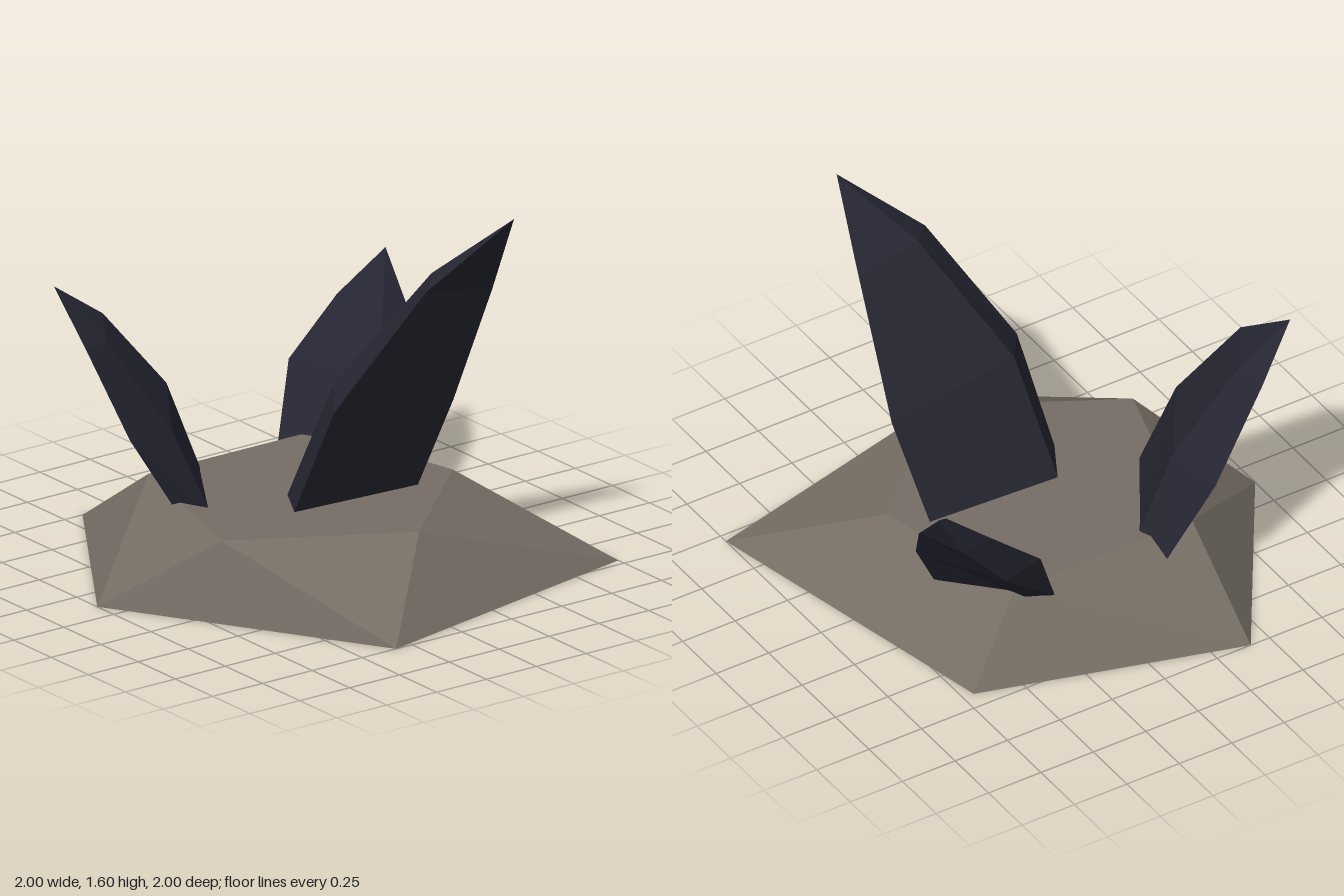
import * as THREE from 'three';

const stoneMat = new THREE.MeshStandardMaterial({ color: 0x766e65 });
stoneMat.name = 'warm grey stone';
stoneMat.flatShading = true;
const crystalMat = new THREE.MeshStandardMaterial({ color: 0x262633 });
crystalMat.name = 'dark indigo crystal';
crystalMat.flatShading = true;

// Skins closed rings (bottom to top, anticlockwise from above) and caps both ends; a tip closes to a point.
function loft(name, material, rings, tip) {
  const pos = [];
  const tri = (a, b, c) => pos.push(...a, ...b, ...c);
  const n = rings[0].length;
  for (let r = 0; r < rings.length - 1; r++) {
    const lo = rings[r], hi = rings[r + 1];
    for (let i = 0; i < n; i++) {
      const j = (i + 1) % n;
      tri(lo[i], lo[j], hi[i]);
      tri(lo[j], hi[j], hi[i]);
    }
  }
  const first = rings[0], last = rings[rings.length - 1];
  for (let i = 1; i < n - 1; i++) {
    tri(first[0], first[i + 1], first[i]);
    if (!tip) tri(last[0], last[i], last[i + 1]);
  }
  if (tip) for (let i = 0; i < n; i++) tri(last[i], last[(i + 1) % n], tip);
  const geo = new THREE.BufferGeometry();
  geo.setAttribute('position', new THREE.Float32BufferAttribute(pos, 3));
  geo.computeVertexNormals();
  const mesh = new THREE.Mesh(geo, material);
  mesh.name = name;
  return mesh;
}

const level = (y, points) => points.map(([x, z]) => [x, y, z]);

export function createModel() {
  const group = new THREE.Group();
  group.name = 'crystalCluster';

  // Five-sided rock with a flat top
  group.add(loft('rockBase', stoneMat, [
    level(0, [[-1, -0.11], [-0.33, 1], [1, 0.71], [0.7, -0.67], [-0.41, -1]]),
    level(0.32, [[-0.66, 0.27], [0.04, 0.66], [0.58, 0.16], [0.42, -0.53], [-0.43, -0.53]]),
  ]));

  // Tall blade leaning forward
  group.add(loft('tallCrystal', crystalMat, [
    [[-0.23, 0.3, 0.17], [0.36, 0.3, 0.21], [0.46, 0.3, 0.02], [-0.13, 0.3, -0.01]],
    [[-0.17, 0.79, 0.37], [0.42, 0.72, 0.38], [0.535, 0.74, 0.2], [-0.05, 0.83, 0.2]],
    [[0.12, 1.31, 0.6], [0.45, 1.25, 0.6], [0.5, 1.27, 0.5], [0.22, 1.34, 0.5]],
  ], [0.44, 1.6, 0.76]));

  // Medium blade leaning to the -x side
  group.add(loft('mediumCrystal', crystalMat, [
    [[-0.45, 0.26, -0.06], [-0.2, 0.28, -0.47], [-0.25, 0.25, -0.62], [-0.51, 0.24, -0.2]],
    [[-0.61, 0.66, -0.13], [-0.34, 0.69, -0.53], [-0.42, 0.62, -0.72], [-0.68, 0.58, -0.32]],
    [[-0.79, 1.02, -0.33], [-0.63, 1.04, -0.57], [-0.67, 1.0, -0.68], [-0.82, 0.97, -0.43]],
  ], [-0.86, 1.2, -0.59]));

  // Small blade leaning to the +x side
  group.add(loft('smallCrystal', crystalMat, [
    [[0.59, 0.23, -0.2], [0.37, 0.27, -0.55], [0.26, 0.26, -0.59], [0.48, 0.27, -0.24]],
    [[0.74, 0.5, -0.3], [0.54, 0.5, -0.66], [0.4, 0.58, -0.7], [0.6, 0.57, -0.34]],
    [[0.84, 0.75, -0.48], [0.76, 0.75, -0.68], [0.65, 0.8, -0.71], [0.73, 0.8, -0.51]],
  ], [0.87, 0.96, -0.68]));

  return group;
}
